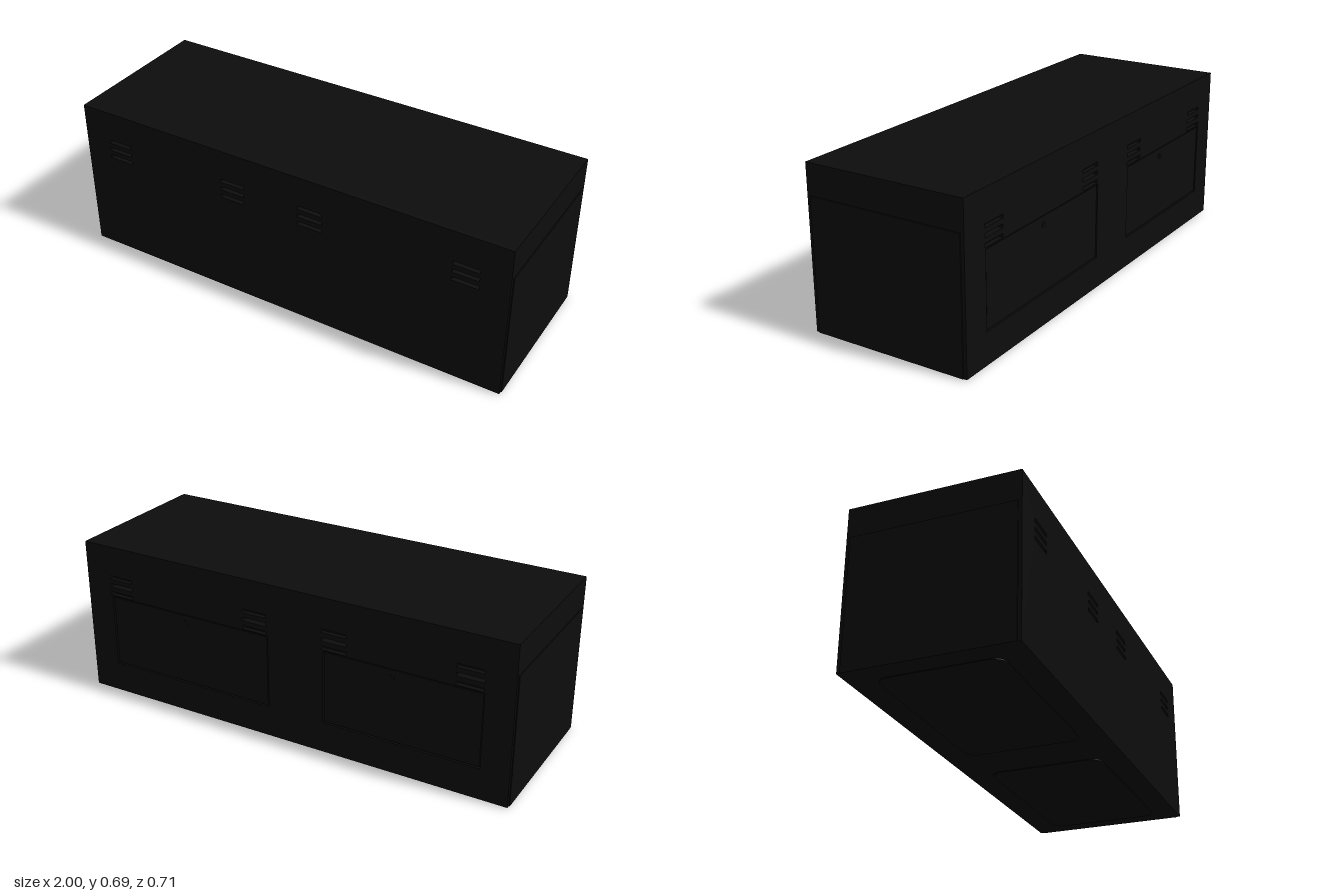
import * as THREE from 'three';

const black = new THREE.MeshStandardMaterial({ color: 0x0d0d0d });
black.name = 'matte black';

// Overall half sizes, skin thickness and layout of the vents and doors
const HX = 0.996, HZ = 0.355, TOP = 0.695, FLOOR = 0.004, SKIN = 0.02;
const VENTS = [-0.815, -0.235, 0.135, 0.815];
const DOORS = [
  { x0: 0.072, x1: 0.868, knob: 0.48 },
  { x0: -0.875, x1: -0.185, knob: -0.49 },
];
const DOOR_Y0 = 0.14, DOOR_Y1 = 0.465;

function rect(Type, x0, y0, x1, y1) {
  const p = new Type();
  p.moveTo(x0, y0).lineTo(x1, y0).lineTo(x1, y1).lineTo(x0, y1).closePath();
  return p;
}

function roundedRect(x0, y0, x1, y1, r) {
  const s = new THREE.Shape();
  s.absarc(x1 - r, y1 - r, r, 0, Math.PI / 2);
  s.absarc(x0 + r, y1 - r, r, Math.PI / 2, Math.PI);
  s.absarc(x0 + r, y0 + r, r, Math.PI, Math.PI * 1.5);
  s.absarc(x1 - r, y0 + r, r, Math.PI * 1.5, Math.PI * 2);
  s.closePath();
  return s;
}

// Wall outline cut by a row of vent slots at each given height
function ventedWall(slotHeights) {
  const wall = rect(THREE.Shape, -HX, FLOOR, HX, TOP);
  for (const x of VENTS)
    for (const y of slotHeights)
      wall.holes.push(rect(THREE.Path, x - 0.057, y - 0.008, x + 0.057, y + 0.008));
  return wall;
}

function extrude(shape, depth, z) {
  return new THREE.ExtrudeGeometry(shape, { depth, bevelEnabled: false, curveSegments: 8 }).translate(0, 0, z);
}

export function createModel() {
  const group = new THREE.Group();
  const add = (name, geometry, x = 0, y = 0, z = 0) => {
    const mesh = new THREE.Mesh(geometry, black);
    mesh.name = name;
    mesh.position.set(x, y, z);
    group.add(mesh);
    return mesh;
  };

  // Core with the air passages that run right through
  add('core', extrude(ventedWall([0.515]), 2 * (HZ - SKIN), -(HZ - SKIN)));

  // Front and back skins with three-slot vents; the back one has door openings
  const slots = [0.478, 0.515, 0.552];
  add('frontSkin', extrude(ventedWall(slots), SKIN, HZ - SKIN));
  const back = ventedWall(slots);
  for (const d of DOORS) back.holes.push(rect(THREE.Path, d.x0, DOOR_Y0, d.x1, DOOR_Y1));
  add('backSkin', extrude(back, SKIN, -HZ));

  // Back doors, slightly sunk with a narrow gap around them, and their latches
  for (const d of DOORS) {
    const w = d.x1 - d.x0 - 0.01, h = DOOR_Y1 - DOOR_Y0 - 0.01;
    add('backDoor', new THREE.BoxGeometry(w, h, 0.017),
      (d.x0 + d.x1) / 2, (DOOR_Y0 + DOOR_Y1) / 2, -HZ + 0.0115);
    const latch = new THREE.CylinderGeometry(0.012, 0.012, 0.006, 16).rotateX(Math.PI / 2);
    add('doorLatch', latch, d.knob, 0.425, -HZ + 0.003);
  }

  // Raised end panels below the top band
  for (const s of [-1, 1])
    add('endPanel', new THREE.BoxGeometry(0.004, 0.561, 0.68), s * (HX + 0.002), 0.2845, 0);

  // Rounded base plates
  for (const [x0, x1] of [[0.12, 0.92], [-0.91, -0.1]]) {
    const plate = extrude(roundedRect(x0, -0.25, x1, 0.25, 0.05), FLOOR, 0).rotateX(-Math.PI / 2);
    add('basePlate', plate);
  }
  return group;
}
